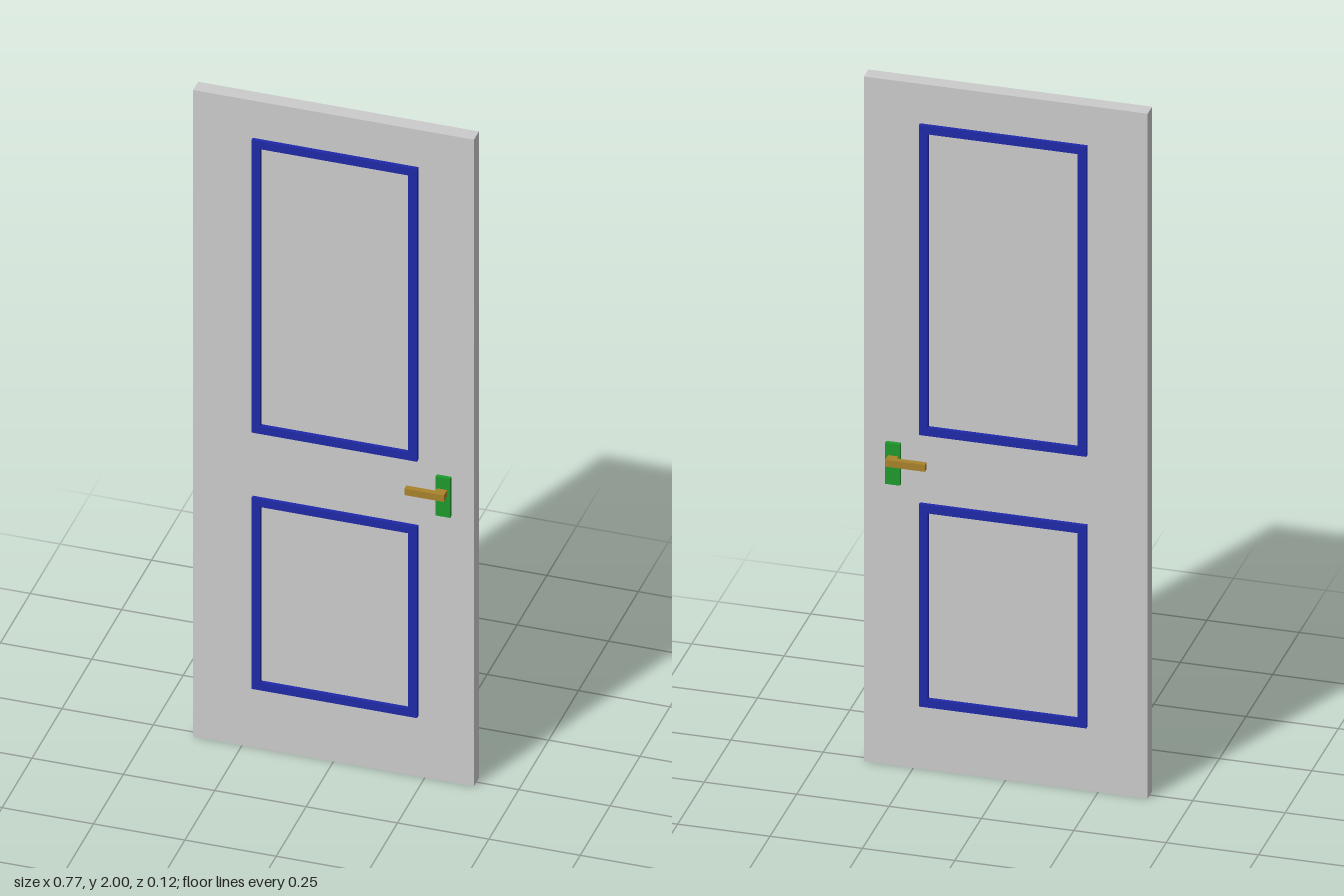
import * as THREE from 'three';

const mat = (color) => new THREE.MeshStandardMaterial({ color, flatShading: true });

function add(parent, name, geometry, material) {
  const mesh = new THREE.Mesh(geometry, material);
  mesh.name = name;
  parent.add(mesh);
  return mesh;
}

// Box given by its limits on each axis
function box(x0, x1, y0, y1, z0, z1) {
  return new THREE.BoxGeometry(x1 - x0, y1 - y0, z1 - z0)
    .translate((x0 + x1) / 2, (y0 + y1) / 2, (z0 + z1) / 2);
}

// Rectangular moulding with an open middle
function frame(x0, x1, y0, y1, width, z0, z1) {
  const rect = (S, i) => new S([
    new THREE.Vector2(x0 + i, y0 + i), new THREE.Vector2(x1 - i, y0 + i),
    new THREE.Vector2(x1 - i, y1 - i), new THREE.Vector2(x0 + i, y1 - i),
  ]);
  const shape = rect(THREE.Shape, 0);
  shape.holes.push(rect(THREE.Path, width));
  return new THREE.ExtrudeGeometry(shape, { depth: z1 - z0, bevelEnabled: false }).translate(0, 0, z0);
}

// L-shaped lever: a stem out of the door, then a grip parallel to it
function lever() {
  const outline = [[0.287, 0.02], [0.315, 0.02], [0.315, 0.061], [0.207, 0.061], [0.207, 0.045], [0.287, 0.045]];
  const shape = new THREE.Shape(outline.map(([x, z]) => new THREE.Vector2(x, z)));
  return new THREE.ExtrudeGeometry(shape, { depth: 0.02, bevelEnabled: false })
    .rotateX(Math.PI / 2).translate(0, 0.91, 0);
}

export function createModel() {
  const door = new THREE.Group();
  door.name = 'door';
  const grey = mat(0xcccccc), blue = mat(0x1f29a8), green = mat(0x1f9a2c), brass = mat(0xa8832a);

  add(door, 'doorLeaf', box(-0.384, 0.384, 0, 2, -0.021, 0.021), grey);

  // Mouldings and handle, mirrored on both faces
  for (const [side, sign] of [['front', 1], ['back', -1]]) {
    const face = new THREE.Group();
    face.name = side + 'Fittings';
    face.scale.z = sign;
    add(face, 'upperMoulding', frame(-0.221, 0.232, 0.98, 1.885, 0.024, 0.02, 0.032), blue);
    add(face, 'lowerMoulding', frame(-0.221, 0.232, 0.187, 0.778, 0.024, 0.02, 0.032), blue);
    add(face, 'handlePlate', box(0.283, 0.323, 0.825, 0.945, 0.02, 0.033), green);
    add(face, 'handleLever', lever(), brass);
    door.add(face);
  }
  return door;
}
